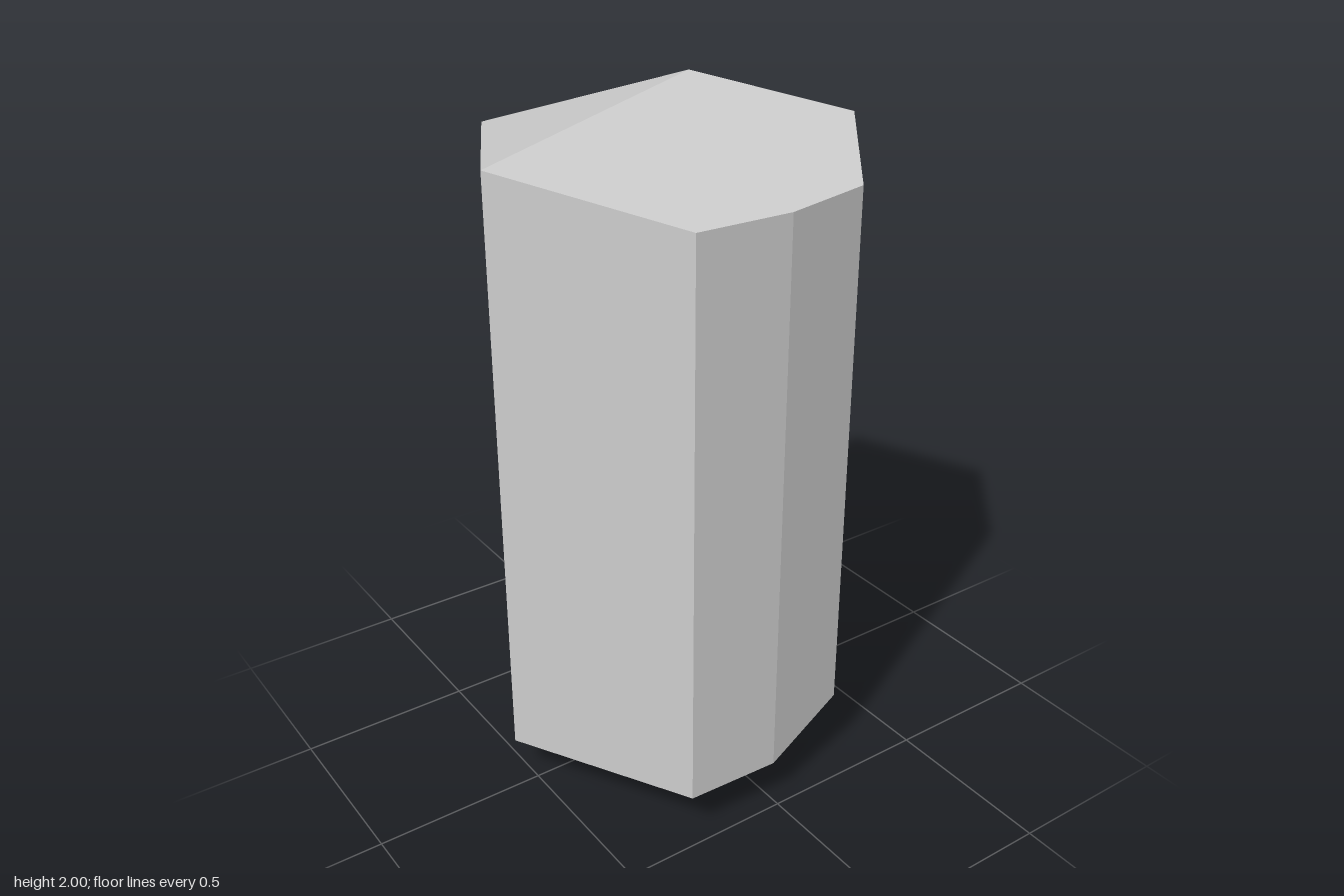
import * as THREE from 'three';

// Columns around the shaft, left to right as seen from the front: x, z, bottom y, top y
const columns = {
  a: [-0.55, -0.035, 0.13, 1.83],
  f: [-0.275, 0.465, 0.13, 1.76],
  g: [0, 0.475, 0.13, 1.76],
  e: [0.275, 0.41, 0.21, 1.76],
  d: [0.55, 0.055, 0.09, 1.83],
  c: [0.335, -0.465, 0.09, 1.83],
  h: [0, -0.48, 0.09, 1.83],
  b: [-0.335, -0.43, 0.21, 1.83],
};
const low = (k) => new THREE.Vector3(columns[k][0], columns[k][2], columns[k][1]);
const high = (k) => new THREE.Vector3(columns[k][0], columns[k][3], columns[k][1]);
const tip = new THREE.Vector3(0.035, 2, 0);
const foot = new THREE.Vector3(0, 0, 0);

// Facets as fans around their first corner, each facet shaded with one normal
function facetGeometry(facets) {
  const positions = [], normals = [];
  for (const corners of facets) {
    const normal = new THREE.Vector3();
    corners.forEach((p, i) => normal.add(p.clone().cross(corners[(i + 1) % corners.length])));
    normal.normalize();
    for (let i = 1; i < corners.length - 1; i++) {
      for (const p of [corners[0], corners[i], corners[i + 1]]) {
        positions.push(...p.toArray());
        normals.push(...normal.toArray());
      }
    }
  }
  const geometry = new THREE.BufferGeometry();
  geometry.setAttribute('position', new THREE.Float32BufferAttribute(positions, 3));
  geometry.setAttribute('normal', new THREE.Float32BufferAttribute(normals, 3));
  return geometry;
}

export function createModel() {
  const group = new THREE.Group();
  group.name = 'crystal';
  const material = new THREE.MeshStandardMaterial({ color: 0xcccccc });
  const add = (name, facets) => {
    const mesh = new THREE.Mesh(facetGeometry(facets), material);
    mesh.name = name;
    group.add(mesh);
  };

  // Upright sides; the back one bulges out to an extra corner at the bottom
  const walls = ['af', 'fg', 'ge', 'ed', 'dc', 'ba'].map(([l, r]) => [low(l), low(r), high(r), high(l)]);
  walls.push([low('c'), low('h'), low('b'), high('b'), high('c')]);
  add('shaft', walls);

  // Sloping facets that meet along a ridge through the tip
  add('topFacets', [
    [tip, ...[...'afged'].map(high)],
    [high('b'), high('a'), tip, high('d'), high('c')],
  ]);

  // Sloping facets underneath
  add('bottomFacets', [
    [foot, ...[...'degfa'].map(low)],
    [foot, ...[...'abhcd'].map(low)],
  ]);
  return group;
}
